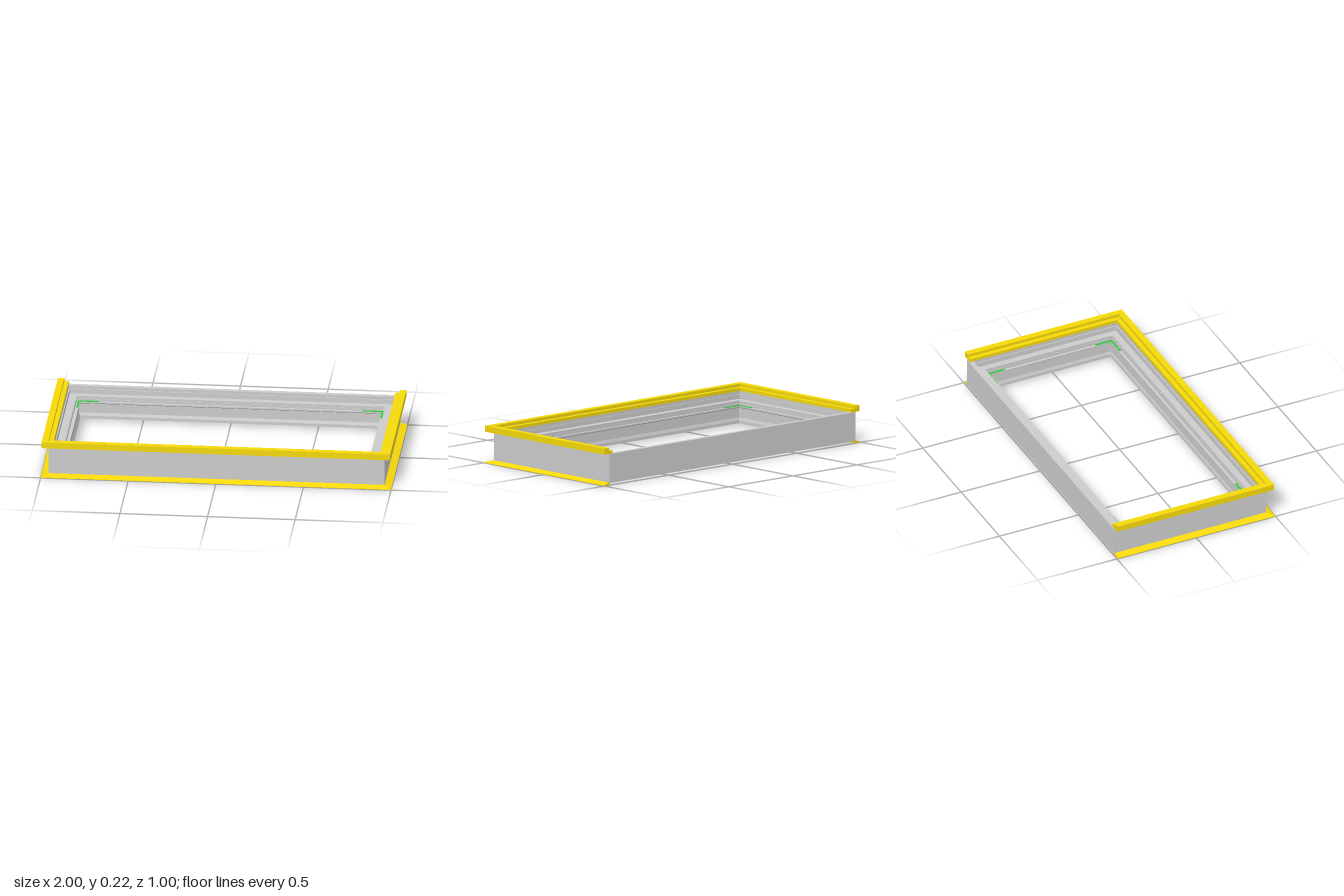
import * as THREE from 'three';

// outer faces of the frame
const X = 0.96, FRONT = 0.46, BACK = -0.5, RAIL_END = -0.495;

// Sweeps a profile of [inset, height] points (counter-clockwise) round the
// rectangle with mitred corners; an open sweep leaves out the back side.
function mitredSweep(profile, open) {
  const back = d => (open ? RAIL_END : BACK + d);
  const corners = [
    d => [-(X - d), back(d)],
    d => [-(X - d), FRONT - d],
    d => [X - d, FRONT - d],
    d => [X - d, back(d)],
  ];
  const rings = corners.map(c => profile.map(([d, y]) => {
    const [x, z] = c(d);
    return [x, y, z];
  }));
  const pos = [];
  const tri = (a, b, c) => pos.push(...a, ...b, ...c);
  for (let s = 0; s < (open ? 3 : 4); s++) {
    const A = rings[s], B = rings[(s + 1) % 4];
    for (let i = 0; i < profile.length; i++) {
      const j = (i + 1) % profile.length;
      tri(A[i], A[j], B[j]);
      tri(A[i], B[j], B[i]);
    }
  }
  // end caps
  if (open) {
    const contour = profile.map(p => new THREE.Vector2(...p));
    for (const [a, b, c] of THREE.ShapeUtils.triangulateShape(contour, [])) {
      tri(rings[0][a], rings[0][c], rings[0][b]);
      tri(rings[3][a], rings[3][b], rings[3][c]);
    }
  }
  const g = new THREE.BufferGeometry();
  g.setAttribute('position', new THREE.Float32BufferAttribute(pos, 3));
  g.computeVertexNormals();
  return g;
}

export function createModel() {
  const model = new THREE.Group();
  const grey = new THREE.MeshStandardMaterial({ color: 0xcccccc });
  const yellow = new THREE.MeshStandardMaterial({ color: 0xf5d80a });
  const green = new THREE.MeshStandardMaterial({ color: 0x20d030 });
  const add = (name, geometry, material, parent = model) => {
    const mesh = new THREE.Mesh(geometry, material);
    mesh.name = name;
    parent.add(mesh);
    return mesh;
  };

  // hollow-stepped frame: plain outer wall, stepped and grooved inside
  add('frame', mitredSweep([
    [0, 0.012], [0.045, 0.012], [0.045, 0.02], [0.053, 0.02], [0.053, 0.012],
    [0.1, 0.012], [0.1, 0.028], [0.094, 0.045], [0.094, 0.1], [0.1, 0.105],
    [0.1, 0.112], [0.085, 0.112], [0.085, 0.105], [0.079, 0.105],
    [0.079, 0.122], [0.076, 0.122], [0.076, 0.128], [0.079, 0.128],
    [0.079, 0.138], [0.04, 0.138], [0.04, 0.13], [0.034, 0.13],
    [0.034, 0.162], [0.028, 0.162], [0.028, 0.18], [0, 0.18],
  ], false), grey);

  // stepped rail on top of the front and both sides
  add('topRail', mitredSweep([
    [-0.035, 0.18], [0.028, 0.18], [0.028, 0.198], [0.002, 0.198],
    [0.002, 0.215], [-0.035, 0.215],
  ], true), yellow);

  // tapered flange round the foot of the front and both sides
  add('bottomFlange', mitredSweep([
    [-0.04, 0], [0.008, 0], [0.008, 0.0125], [0.0005, 0.015],
    [-0.001, 0.015], [-0.04, 0.003],
  ], true), yellow);

  // L-shaped keys lying on the inner ledge at each corner
  for (const sx of [-1, 1]) {
    for (const sz of [-1, 1]) {
      const key = new THREE.Group();
      key.name = 'cornerKey';
      const x = sx * (X - 0.092);
      const z = sz > 0 ? FRONT - 0.092 : BACK + 0.092;
      add('longArm', new THREE.BoxGeometry(0.12, 0.006, 0.01), green, key)
        .position.set(x - sx * 0.055, 0.112, z);
      add('shortArm', new THREE.BoxGeometry(0.01, 0.006, 0.095), green, key)
        .position.set(x, 0.112, z - sz * 0.0525);
      model.add(key);
    }
  }
  return model;
}
